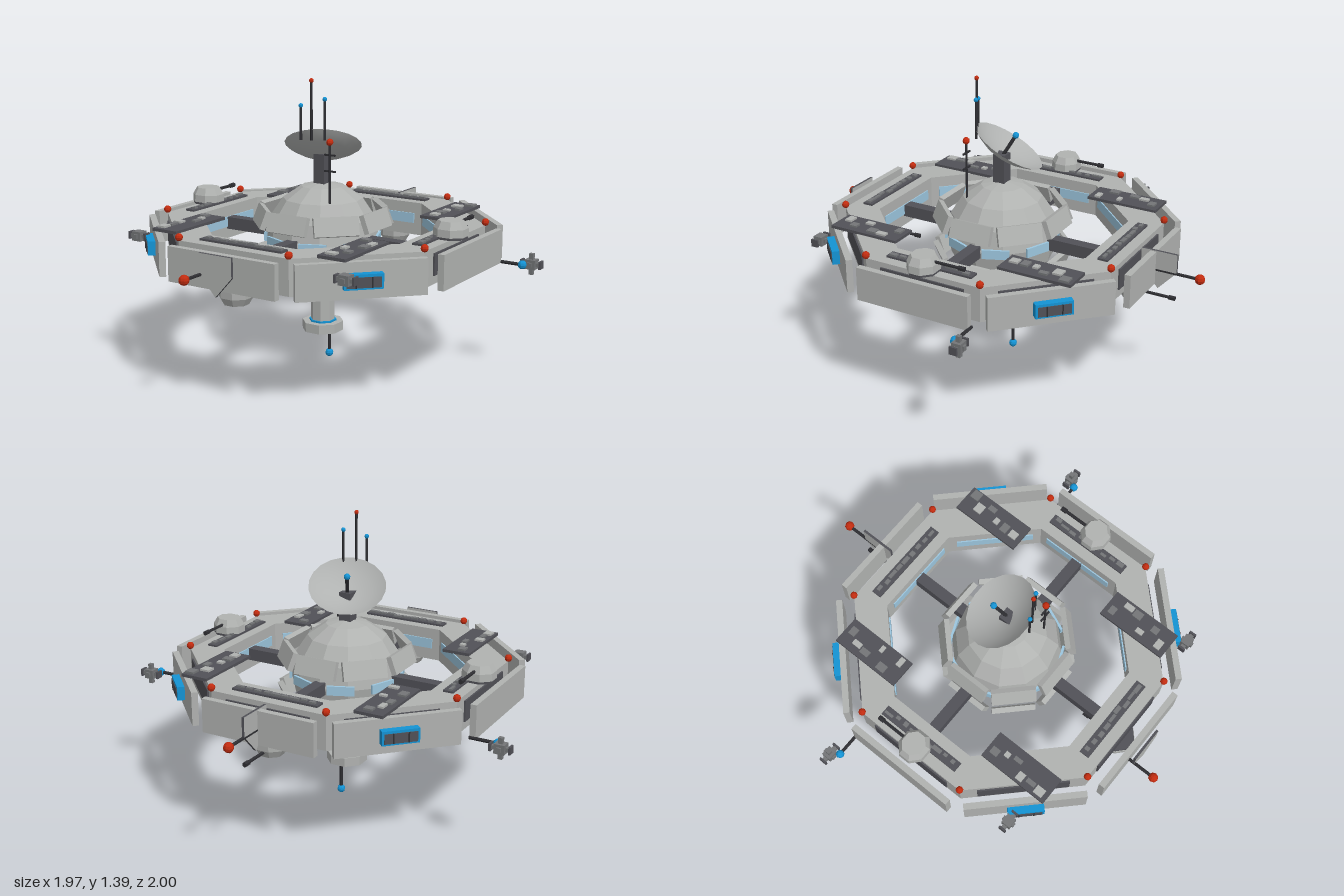
import * as THREE from 'three';

const mat = (name, color, extra = {}) => Object.assign(new THREE.MeshStandardMaterial({ color, flatShading: true, ...extra }), { name });

export function createModel() {
  const hull = mat('hull grey', 0xb0b2b0);
  const dishGrey = mat('dish grey', 0xb0b2b1, { side: THREE.DoubleSide, flatShading: false });
  const dark = mat('dark panel', 0x515157);
  const mid = mat('mid grey', 0x747678);
  const rodMat = mat('rod black', 0x2e2e32);
  const blue = mat('signal blue', 0x1493d4);
  const red = mat('beacon red', 0xc22c10);
  const glass = mat('window light blue', 0x9cc6de);

  const root = new THREE.Group();
  root.name = 'spaceStation';
  const station = new THREE.Group();
  station.name = 'station';
  station.position.z = 0.035;
  root.add(station);

  let seed = 7;
  const rnd = () => (seed = (seed * 16807) % 2147483647) / 2147483647;

  const add = (parent, name, geo, material, x = 0, y = 0, z = 0) => {
    const m = new THREE.Mesh(geo, material);
    m.name = name;
    m.position.set(x, y, z);
    parent.add(m);
    return m;
  };
  const box = (parent, name, w, h, d, material, x, y, z) =>
    add(parent, name, new THREE.BoxGeometry(w, h, d), material, x, y, z);
  const ball = (parent, name, r, material, x, y, z) =>
    add(parent, name, new THREE.SphereGeometry(r, 8, 6), material, x, y, z);
  const rod = (parent, name, a, b, r, material = rodMat) => {
    const p = new THREE.Vector3(...a), q = new THREE.Vector3(...b), dir = q.clone().sub(p);
    const m = add(parent, name, new THREE.CylinderGeometry(r, r, dir.length(), 6), material);
    m.position.copy(p).add(q).multiplyScalar(0.5);
    m.quaternion.setFromUnitVectors(new THREE.Vector3(0, 1, 0), dir.normalize());
    return m;
  };
  // Calls fn with a group turned about y for each of n directions; +z points outward
  const around = (n, name, fn, offset = 0) => {
    for (let i = 0; i < n; i++) {
      const g = new THREE.Group();
      g.name = name;
      g.rotation.y = offset + (i * Math.PI * 2) / n;
      station.add(g);
      fn(g, i);
    }
  };

  // Octagonal ring
  const octagon = (apothem, PathType) => {
    const pts = [];
    for (let i = 0; i < 8; i++) {
      const a = ((i + 0.5) * Math.PI) / 4, r = apothem / Math.cos(Math.PI / 8);
      pts.push(new THREE.Vector2(r * Math.cos(a), r * Math.sin(a)));
    }
    return new PathType(pts);
  };
  const ringShape = octagon(0.71, THREE.Shape);
  ringShape.holes.push(octagon(0.555, THREE.Path));
  const ringGeo = new THREE.ExtrudeGeometry(ringShape, { depth: 0.165, bevelEnabled: false });
  ringGeo.rotateX(-Math.PI / 2);
  add(station, 'ring', ringGeo, hull, 0, 0.54, 0);

  // Armour, strips and windows on each ring side
  around(8, 'ringSide', (g, i) => {
    box(g, 'armourPlate', 0.57, 0.16, 0.03, hull, 0, 0.62, 0.785);
    box(g, 'outerStrip', 0.43, 0.1, 0.008, dark, 0, 0.63, 0.714);
    box(g, 'innerWindow', 0.38, 0.05, 0.008, glass, 0, 0.625, 0.553);
    if (i % 2) {
      box(g, 'bayFrame', 0.17, 0.066, 0.04, blue, 0, 0.622, 0.815);
      box(g, 'bayOpening', 0.15, 0.046, 0.006, dark, 0, 0.62, 0.835);
      for (const x of [-0.035, 0.035]) box(g, 'bayBar', 0.006, 0.046, 0.006, rodMat, x, 0.62, 0.837);
    } else {
      box(g, 'topStrip', 0.44, 0.01, 0.05, dark, 0, 0.709, 0.633);
      for (let k = 0; k < 9; k++)
        box(g, 'stripDetail', 0.02 + 0.03 * rnd(), 0.016, 0.012 + 0.012 * rnd(), mid,
          -0.19 + k * 0.047, 0.714, 0.633 + (rnd() - 0.5) * 0.02);
    }
    const a = Math.PI / 8, r = 0.71 / Math.cos(a);
    ball(g, 'cornerBeacon', 0.018, red, r * Math.sin(a), 0.72, r * Math.cos(a));
  });

  // Straight dark decks over the diagonal ring sides
  for (const sx of [-1, 1]) for (const sz of [-1, 1]) {
    box(station, 'deckPanel', 0.14, 0.014, 0.36, dark, sx * 0.45, 0.71, sz * 0.447);
    for (let k = 0; k < 6; k++)
      box(station, 'deckDetail', 0.02 + 0.03 * rnd(), 0.012, 0.02 + 0.03 * rnd(), k % 2 ? hull : mid,
        sx * 0.45 + (rnd() - 0.5) * 0.08, 0.72, sz * 0.447 - 0.14 + k * 0.055);
  }

  // Hub, its tilted plates and its windows
  add(station, 'hub', new THREE.SphereGeometry(0.268, 12, 8), hull, 0, 0.62, 0);
  around(8, 'hubSide', (g) => {
    for (const s of [-1, 1])
      box(g, 'hubPlate', 0.21, 0.09, 0.026, hull, 0, 0.625 + s * 0.105, 0.293).rotation.x = -s * 0.36;
  });
  around(8, 'hubWindow', (g) => box(g, 'window', 0.13, 0.045, 0.012, glass, 0, 0.62, 0.266), Math.PI / 8);
  around(4, 'spoke', (g) => box(g, 'spokeBeam', 0.055, 0.06, 0.32, dark, 0, 0.62, 0.4));

  // Docking neck below the hub
  const octCyl = (name, rt, rb, h, material, y) =>
    add(station, name, new THREE.CylinderGeometry(rt, rb, h, 8), material, 0, y, 0).rotation.y = Math.PI / 8;
  octCyl('neck', 0.058, 0.058, 0.2, hull, 0.29);
  octCyl('collar', 0.1, 0.1, 0.045, hull, 0.18);
  octCyl('collarTrim', 0.066, 0.066, 0.012, blue, 0.205);
  octCyl('dockRing', 0.075, 0.075, 0.006, blue, 0.156);
  octCyl('dockHatch', 0.055, 0.055, 0.006, mid, 0.153);
  rod(station, 'lowerAntenna', [0, 0.16, -0.058], [0, 0.03, -0.058], 0.008);
  ball(station, 'lowerBeacon', 0.02, blue, 0, 0.02, -0.058);

  // Dish on its post, pointing up and back
  box(station, 'dishPost', 0.06, 0.16, 0.06, dark, 0, 0.94, 0.005);
  const dish = new THREE.Group();
  dish.name = 'dish';
  dish.position.set(-0.014, 1.055, -0.025);
  dish.quaternion.setFromUnitVectors(new THREE.Vector3(0, 1, 0), new THREE.Vector3(-0.24, 0.86, -0.46).normalize());
  station.add(dish);
  const bowl = [[0, -0.06], [0.06, -0.053], [0.12, -0.032], [0.16, -0.011], [0.183, 0.005]];
  add(dish, 'dishBowl', new THREE.LatheGeometry(bowl.map((p) => new THREE.Vector2(...p)), 20), dishGrey);
  rod(dish, 'dishFeed', [0, -0.06, 0], [0, 0.06, 0], 0.009);
  ball(dish, 'feedTip', 0.016, blue, 0, 0.065, 0);

  // Masts
  for (const [x, z, top, m] of [[-0.025, 0.145, 1.26, blue], [0.02, 0.125, 1.375, red], [0.075, 0.097, 1.29, blue]]) {
    rod(station, 'mast', [x, 1.1, z], [x, top, z], 0.006);
    ball(station, 'mastTip', 0.011, m, x, top, z);
  }
  rod(station, 'sideMast', [0.12, 0.8, 0.125], [0.12, 1.1, 0.125], 0.006);
  ball(station, 'sideMastTip', 0.017, red, 0.12, 1.1, 0.125);
  for (const y of [0.965, 1.04]) box(station, 'mastCrossbar', 0.06, 0.008, 0.008, rodMat, 0.12, y, 0.125);

  // Turrets: two above the sides, two hanging below front and back
  const turret = (x, z, below) => {
    const g = new THREE.Group();
    g.name = below ? 'lowerTurret' : 'upperTurret';
    g.position.set(x, below ? 0.54 : 0.705, z);
    if (below) g.rotation.z = Math.PI;
    station.add(g);
    const part = (name, rt, rb, h, m, y) => {
      const p = add(g, name, new THREE.CylinderGeometry(rt, rb, h, 8).rotateY(Math.PI / 8), m, 0, y, 0);
      p.scale.z = 0.92;
    };
    part('turretBase', 0.078, 0.078, 0.012, dark, 0.006);
    part('turretBody', 0.08, 0.082, 0.035, hull, 0.029);
    part('turretTop', 0.06, 0.08, 0.034, hull, 0.0635);
    rod(g, 'barrel', [0, 0.055, -0.04], [0, 0.055, -0.2], 0.008);
    rod(g, 'muzzle', [0, 0.055, -0.18], [0, 0.055, -0.21], 0.012);
  };
  for (const s of [-1, 1]) {
    turret(s * 0.685, 0.005, false);
    turret(0, s * 0.69, true);
  }

  // Pointed fins with red-tipped booms
  const finShape = new THREE.Shape([[-0.087, 0.705], [-0.087, 0.615], [0, 0.52], [0.087, 0.615], [0.087, 0.705]]
    .map((p) => new THREE.Vector2(...p)));
  const finGeo = new THREE.ExtrudeGeometry(finShape, { depth: 0.012, bevelEnabled: false }).translate(0, 0, -0.006);
  add(station, 'frontFin', finGeo, [hull, dark], 0, 0, 0.827);
  add(station, 'backFin', finGeo, [hull, dark], 0, 0, -0.815).rotation.y = Math.PI / 2;
  rod(station, 'frontBoom', [-0.08, 0.61, 0.8], [-0.08, 0.61, 0.935], 0.008);
  ball(station, 'frontBeacon', 0.024, red, -0.08, 0.61, 0.94);
  rod(station, 'backBoom', [0, 0.61, -0.8], [0, 0.61, -1.01], 0.008);
  ball(station, 'backBeacon', 0.024, red, 0, 0.61, -1.012);

  // Small free-flying probes
  const probe = (x, y, z, upright) => {
    const g = new THREE.Group();
    g.name = 'probe';
    g.position.set(x, y, z);
    station.add(g);
    box(g, 'probeBody', 0.05, 0.045, 0.045, mid);
    box(g, 'probeArmX', 0.1, 0.018, 0.022, mid);
    box(g, 'probeArmZ', 0.02, 0.02, 0.062, mid);
    if (upright) box(g, 'probeArmY', 0.02, 0.1, 0.02, mid);
    for (const s of [-1, 1]) box(g, 'probePad', 0.01, 0.036, 0.036, dark, s * 0.046, 0, 0);
  };
  probe(-0.67, 0.645, 0.55, false);
  probe(0.55, 0.645, 0.67, false);
  for (const s of [-1, 1]) {
    probe(s * 0.935, 0.545, -0.325, true);
    rod(station, 'sideBoom', [s * 0.77, 0.545, -0.287], [s * 0.9, 0.545, -0.287], 0.008);
    ball(station, 'sideBeacon', 0.021, blue, s * 0.905, 0.545, -0.287);
  }
  return root;
}
